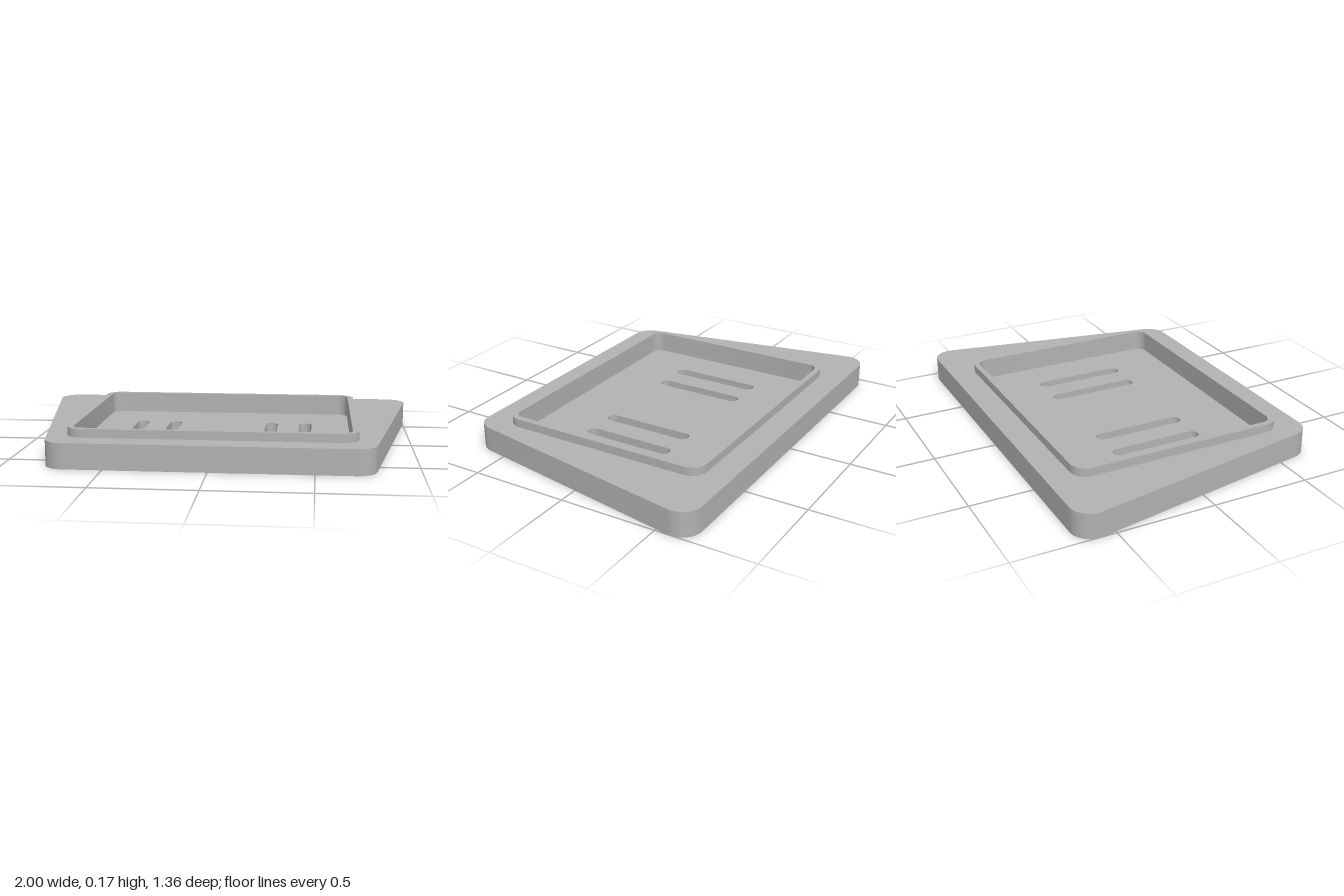
import * as THREE from 'three';
import { toCreasedNormals } from 'three/addons/utils/BufferGeometryUtils.js';

// Trace a polygon with every corner rounded to radius r
function rounded(path, corners, r) {
  const pts = corners.map(([x, y]) => new THREE.Vector2(x, y));
  const n = pts.length;
  const out = [];
  pts.forEach((p, i) => {
    const a = pts[(i + n - 1) % n].clone().sub(p).normalize();
    const b = pts[(i + 1) % n].clone().sub(p).normalize();
    const half = Math.acos(a.dot(b)) / 2;
    const centre = a.clone().add(b).normalize().multiplyScalar(r / Math.sin(half)).add(p);
    const start = a.clone().multiplyScalar(r / Math.tan(half)).add(p).sub(centre);
    const sweep = Math.PI - 2 * half;
    for (let k = 0; k <= 12; k++) {
      out.push(start.clone().rotateAround(new THREE.Vector2(), sweep * k / 12).add(centre));
    }
  });
  path.setFromPoints(out);
  path.closePath();
  return path;
}

const rect = (w, d, x = 0) => [[x - w, -d], [x + w, -d], [x + w, d], [x - w, d]];

export function createModel() {
  const model = new THREE.Group();
  const grey = new THREE.MeshStandardMaterial({ color: 0xb2b2b2 });
  grey.name = 'plain grey';

  const floorY = 0.06, plateY = 0.127, rimY = 0.17;
  const outline = [[-0.775, -0.682], [0.775, -0.682], [1.022, 0.682], [-1.022, 0.682]];
  const pocket = () => rounded(new THREE.Path(), rect(0.677, 0.523), 0.05);

  function layer(name, shape, holes, y0, y1) {
    shape.holes.push(...holes);
    const geo = new THREE.ExtrudeGeometry(shape, { depth: y1 - y0, bevelEnabled: false });
    geo.rotateX(-Math.PI / 2).translate(0, y0, 0);
    const mesh = new THREE.Mesh(toCreasedNormals(geo, 0.6), grey);
    mesh.name = name;
    model.add(mesh);
  }

  // Tapered base with four drain slots
  const slots = [-0.449, -0.267, 0.262, 0.444].map(
    x => rounded(new THREE.Path(), rect(0.033, 0.24, x), 0.0325));
  layer('slottedFloor', rounded(new THREE.Shape(), outline, 0.1), slots, 0, floorY);

  // Plate surrounding the recessed pocket
  layer('plateBody', rounded(new THREE.Shape(), outline, 0.1), [pocket()], floorY, plateY);

  // Thin raised lip around the pocket
  layer('raisedRim', rounded(new THREE.Shape(), rect(0.708, 0.552), 0.08), [pocket()], plateY, rimY);

  return model;
}
